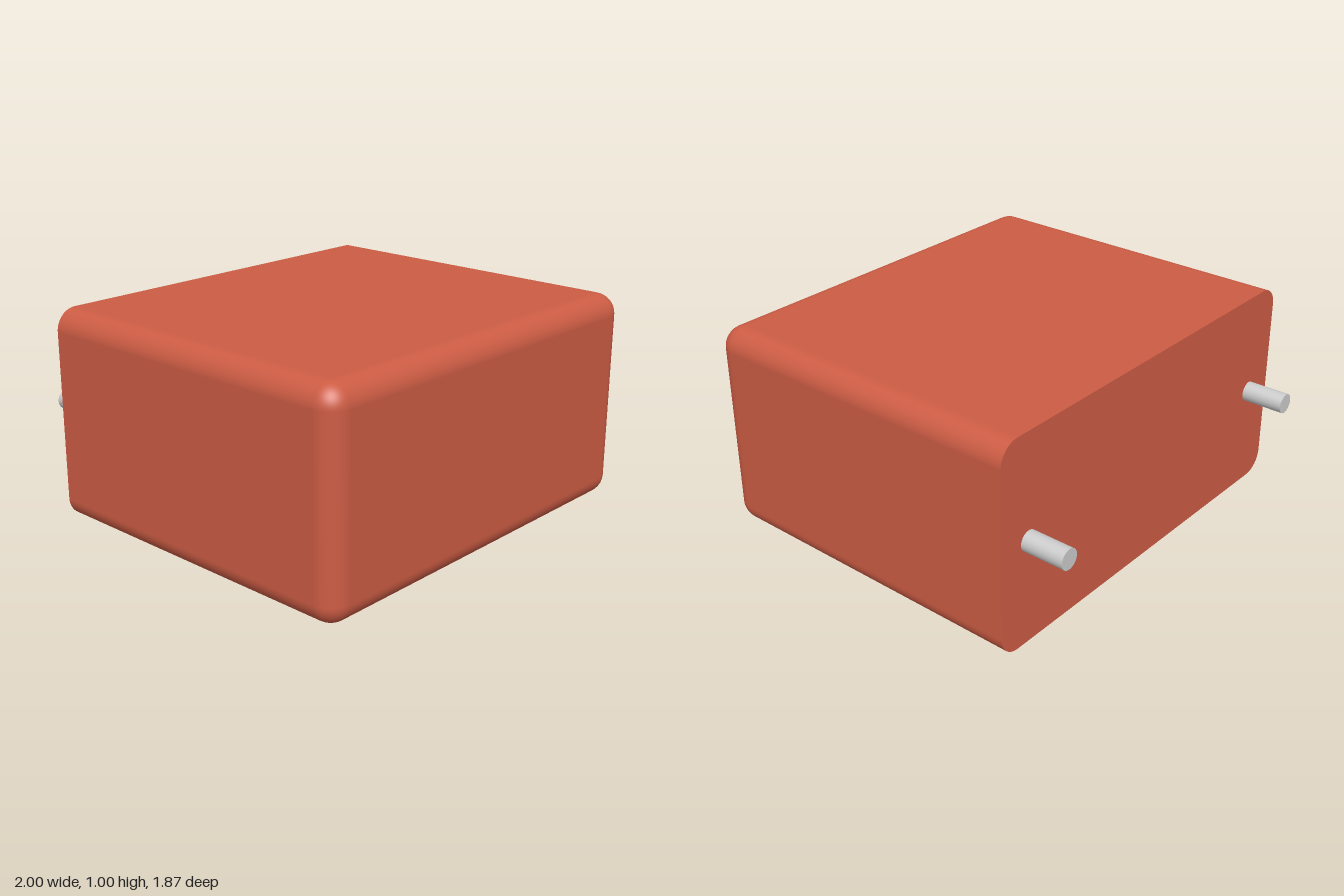
import * as THREE from 'three';

const BACK = -0.73, FRONT = 0.935, R = 0.1, STEPS = 12;
const HALF_W = 1, HALF_H = 0.5, PIN_END = -0.935;

// Rounded block: rounded on all edges except the sharp flat back.
function bodyGeometry() {
  const pos = [], nor = [], idx = [];
  const n = 4 * (STEPS + 1);

  // One closed rounded-rectangle loop; phi tilts the normal toward +z.
  const addLoop = (z, phi, scale = 1, capNormal = 0) => {
    const c = Math.cos(phi), s = Math.sin(phi);
    for (let k = 0; k < 4; k++) {
      const sx = k === 0 || k === 3 ? 1 : -1, sy = k < 2 ? 1 : -1;
      for (let i = 0; i <= STEPS; i++) {
        const a = (k + i / STEPS) * Math.PI / 2;
        const dx = Math.cos(a), dy = Math.sin(a);
        pos.push(scale * (sx * (HALF_W - R) + dx * R * c),
          HALF_H + scale * (sy * (HALF_H - R) + dy * R * c), z);
        if (capNormal) nor.push(0, 0, capNormal);
        else nor.push(dx * c, dy * c, s);
      }
    }
  };

  // Flat back, straight sides, rounded front edge, flat front
  addLoop(BACK, 0, 0, -1);
  addLoop(BACK, 0, 1, -1);
  addLoop(BACK, 0);
  for (let j = 0; j <= STEPS; j++) {
    const phi = (j / STEPS) * Math.PI / 2;
    addLoop(FRONT - R + R * Math.sin(phi), phi);
  }
  addLoop(FRONT, Math.PI / 2, 0, 1);

  const rows = pos.length / 3 / n;
  for (let r = 0; r < rows - 1; r++) {
    if (r === 1) continue; // sharp seam between back and sides
    for (let i = 0; i < n; i++) {
      const a = r * n + i, b = r * n + (i + 1) % n;
      idx.push(a, b, b + n, a, b + n, a + n);
    }
  }
  const g = new THREE.BufferGeometry();
  g.setAttribute('position', new THREE.Float32BufferAttribute(pos, 3));
  g.setAttribute('normal', new THREE.Float32BufferAttribute(nor, 3));
  g.setIndex(idx);
  return g;
}

export function createModel() {
  const group = new THREE.Group();
  group.name = 'boxCapacitor';

  const body = new THREE.Mesh(bodyGeometry(),
    new THREE.MeshStandardMaterial({ color: 0xcc5c44 }));
  body.name = 'body';
  group.add(body);

  // Two metal pins on the back
  const metal = new THREE.MeshStandardMaterial({ color: 0xcccccc });
  const length = BACK - PIN_END;
  const pinGeometry = new THREE.CylinderGeometry(0.048, 0.048, length, 32).rotateX(Math.PI / 2);
  for (const side of [1, -1]) {
    const pin = new THREE.Mesh(pinGeometry, metal);
    pin.name = side > 0 ? 'leftPin' : 'rightPin';
    pin.position.set(side * 0.832, HALF_H, BACK - length / 2);
    group.add(pin);
  }
  return group;
}
